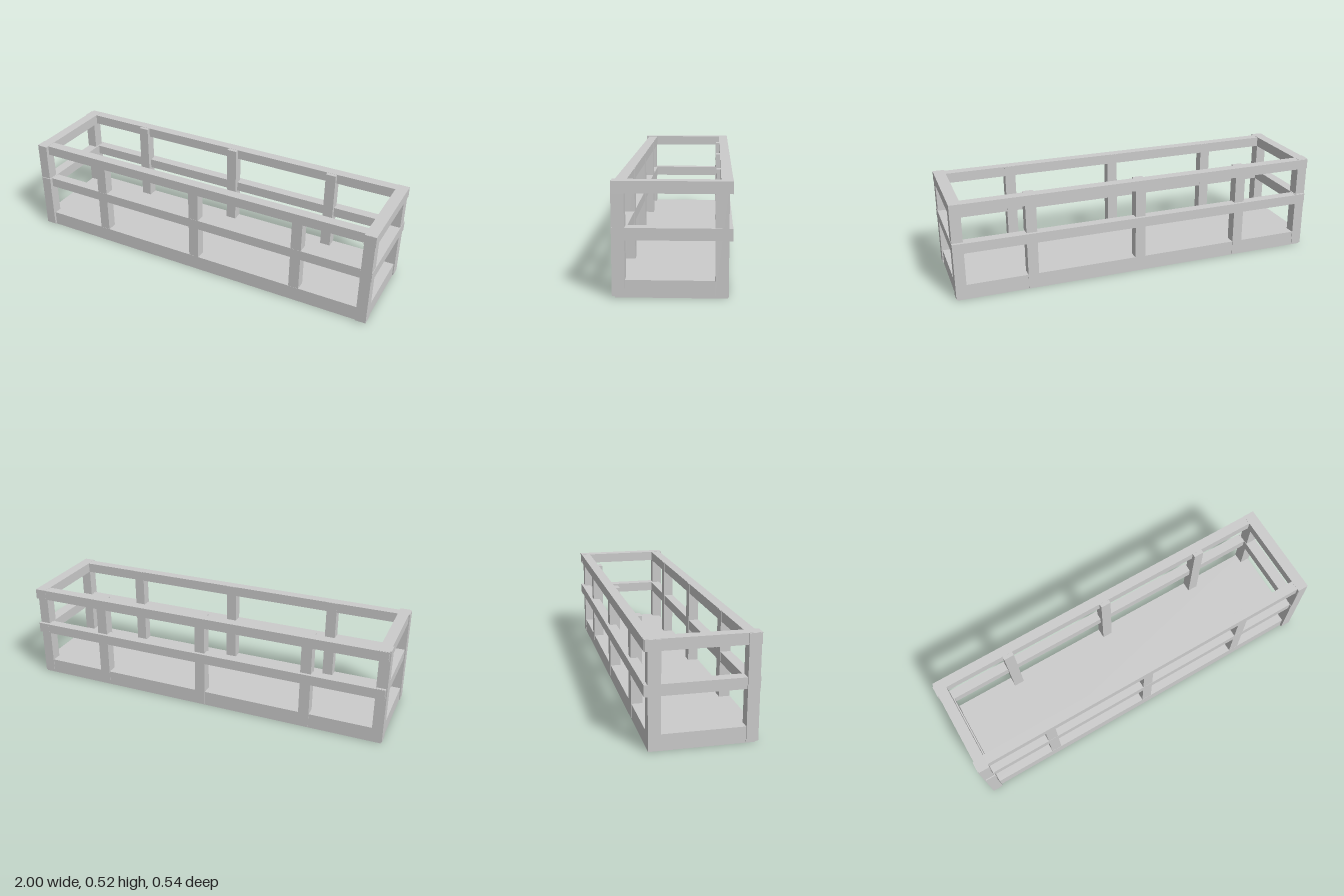
import * as THREE from 'three';

export function createModel() {
  const group = new THREE.Group();
  const material = new THREE.MeshStandardMaterial({ color: 0xcccccc, flatShading: true });

  // Box given by its extents along each axis
  function beam(name, [x0, x1], [y0, y1], [z0, z1]) {
    const mesh = new THREE.Mesh(new THREE.BoxGeometry(x1 - x0, y1 - y0, z1 - z0), material);
    mesh.position.set((x0 + x1) / 2, (y0 + y1) / 2, (z0 + z1) / 2);
    mesh.name = name;
    group.add(mesh);
  }

  // Solid floor slab
  beam('floor', [-0.992, 0.992], [0, 0.08], [-0.25, 0.25]);

  // Corner posts
  for (const [side, x] of [['right', [-0.998, -0.942]], ['left', [0.942, 0.998]]]) {
    beam(side + 'FrontCornerPost', x, [0.007, 0.522], [0.205, 0.263]);
    beam(side + 'BackCornerPost', x, [0.007, 0.522], [-0.253, -0.193]);
  }

  // Intermediate posts along both long sides
  for (const x of [-0.582, 0.004, 0.595]) {
    const span = [x - 0.028, x + 0.028];
    beam('frontPost', span, [0.005, 0.521], [0.195, 0.249]);
    beam('backPost', span, [0.005, 0.521], [-0.252, -0.195]);
  }

  // Two levels of rails around the frame
  for (const [level, y] of [['middle', [0.261, 0.316]], ['top', [0.468, 0.523]]]) {
    const inner = [y[0] + 0.001, y[1] - 0.001];
    beam(level + 'FrontRail', [-0.945, 0.945], inner, [0.197, 0.25]);
    beam(level + 'BackRail', [-0.99, 0.997], inner, [-0.269, -0.216]);
    beam(level + 'RightRail', [-0.992, -0.936], y, [-0.266, 0.268]);
    beam(level + 'LeftRail', [0.94, 1], y, [-0.27, 0.262]);
  }

  return group;
}
